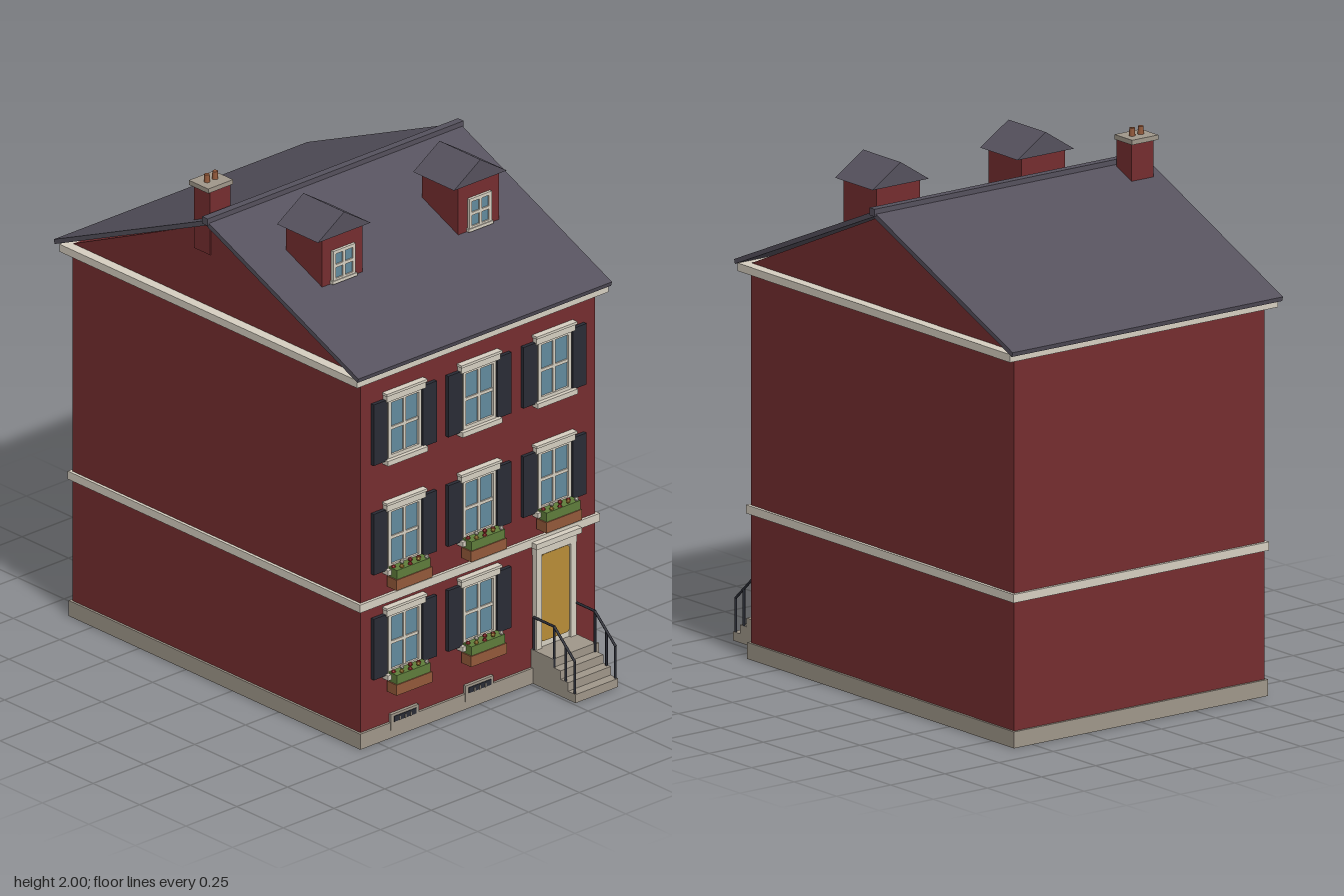
import * as THREE from 'three';

const mat = (name, color) => {
  const m = new THREE.MeshStandardMaterial({ color });
  m.name = name;
  return m;
};

export function createModel() {
  const brick = mat('brick red', 0x752d2f);
  const slate = mat('slate', 0x55515d);
  const cream = mat('cream trim', 0xd6cfc1);
  const glass = mat('window glass', 0x638b9e);
  const dark = mat('dark paint', 0x2a2c35);
  const stone = mat('stone', 0xa0978a);
  const gold = mat('ochre', 0xb98d38);
  const clay = mat('terracotta', 0x93593a);
  const leaf = mat('leaf green', 0x5f7d3b);
  const petal = mat('petal red', 0xa82a2c);

  const house = new THREE.Group();
  house.name = 'townHouse';
  const WALL = 0.68, MID = -0.095;

  const add = (parent, name, geometry, material) => {
    const mesh = new THREE.Mesh(geometry, material);
    mesh.name = name;
    parent.add(mesh);
    return mesh;
  };
  // Box given by its limits on each axis
  const box = (parent, name, material, x0, x1, y0, y1, z0, z1) => {
    const mesh = add(parent, name, new THREE.BoxGeometry(x1 - x0, y1 - y0, z1 - z0), material);
    mesh.position.set((x0 + x1) / 2, (y0 + y1) / 2, (z0 + z1) / 2);
    return mesh;
  };
  const prism = (points, depth) => new THREE.ExtrudeGeometry(
    new THREE.Shape(points.map(p => new THREE.Vector2(...p))), { depth, bevelEnabled: false });
  const group = (name, x, y, z) => {
    const g = new THREE.Group();
    g.name = name;
    g.position.set(x, y, z);
    house.add(g);
    return g;
  };

  // Walls and horizontal bands
  box(house, 'walls', brick, -0.578, 0.578, 0.01, 1.48, -0.87, WALL);
  const band = (name, m, hx, y0, y1, out) =>
    box(house, name, m, -hx, hx, y0, y1, -0.87 - out, WALL + out);
  band('plinth', stone, 0.587, 0, 0.062, 0.01);
  band('beltCourse', cream, 0.59, 0.548, 0.58, 0.012);
  band('cornice', cream, 0.618, 1.462, 1.492, 0.027);

  // Gable and pitched roof: profiles in (z, y), extruded along x
  const alongX = (name, points, half, m, z) => {
    const mesh = add(house, name, prism(points, half * 2), m);
    mesh.rotation.y = -Math.PI / 2;
    mesh.position.set(half, 0, z);
    return mesh;
  };
  alongX('gable', [[-0.775, 1.49], [0.775, 1.49], [0, 1.835]], 0.578, brick, MID);
  alongX('roof', [[-0.815, 1.488], [0, 1.84], [0.815, 1.488], [0.82, 1.505], [0, 1.86], [-0.82, 1.505]],
    0.624, slate, -0.1);
  box(house, 'ridgeCap', slate, -0.63, 0.63, 1.845, 1.873, -0.115, -0.085);

  // Chimney with two pots
  box(house, 'chimney', brick, -0.582, -0.48, 1.7, 1.952, -0.212, -0.125);
  box(house, 'chimneyCap', stone, -0.595, -0.473, 1.952, 1.97, -0.224, -0.12);
  for (const x of [-0.554, -0.514]) {
    add(house, 'chimneyPot', new THREE.CylinderGeometry(0.01, 0.012, 0.032, 12), clay)
      .position.set(x, 1.984, -0.172);
  }

  // Window frame with a hole, glass and crossed bars, centred on its origin
  function sash(parent, w, h, border, depth) {
    const shape = new THREE.Shape([[-w, -h], [w, -h], [w, h], [-w, h]].map(p => new THREE.Vector2(...p)));
    const a = w - border, b = h - border;
    shape.holes.push(new THREE.Path([[-a, -b], [-a, b], [a, b], [a, -b]].map(p => new THREE.Vector2(...p))));
    add(parent, 'windowFrame', new THREE.ExtrudeGeometry(shape, { depth, bevelEnabled: false }), cream);
    box(parent, 'windowGlass', glass, -a, a, -b, b, 0, 0.005);
    box(parent, 'verticalBar', cream, -0.006, 0.006, -b, b, 0.004, 0.011);
    box(parent, 'crossBar', cream, -a, a, -0.006, 0.006, 0.004, 0.011);
  }

  // Flower box under a window
  function flowerBox(parent, y) {
    box(parent, 'planter', clay, -0.088, 0.088, y, y + 0.042, 0.012, 0.064);
    box(parent, 'foliage', leaf, -0.083, 0.083, y + 0.04, y + 0.078, 0.014, 0.06);
    [petal, gold, cream, petal, petal, gold, petal, cream].forEach((m, i) => {
      add(parent, 'flower', new THREE.IcosahedronGeometry(0.009, 0), m)
        .position.set(-0.072 + i * 0.0205, y + 0.08 + (i % 3) * 0.004, i % 2 ? 0.052 : 0.03);
    });
  }

  // Facade windows with shutters; y is the bottom of the shutters
  const columns = [-0.37, -0.003, 0.367];
  [[1.118, 3, false], [0.68, 3, true], [0.26, 2, true]].forEach(([y, count, planted]) => {
    columns.slice(0, count).forEach(x => {
      const g = group('window', x, y + 0.122, WALL);
      sash(g, 0.081, 0.118, 0.014, 0.014);
      box(g, 'lintel', cream, -0.096, 0.096, 0.114, 0.142, 0, 0.02);
      box(g, 'lintelCap', cream, -0.1, 0.1, 0.14, 0.15, 0, 0.026);
      box(g, 'sill', cream, -0.098, 0.098, -0.137, -0.117, 0, 0.03);
      for (const s of [-1, 1]) {
        const c = s * 0.121;
        box(g, 'shutter', dark, c - 0.034, c + 0.034, -0.122, 0.122, 0, 0.015);
      }
      if (planted) flowerBox(g, -0.188);
    });
  });

  // Basement vents
  for (const x of columns.slice(0, 2)) {
    const g = group('basementVent', x, 0, WALL);
    box(g, 'ventFrame', stone, -0.068, 0.068, 0.03, 0.095, 0, 0.013);
    box(g, 'ventOpening', dark, -0.055, 0.055, 0.063, 0.085, 0.012, 0.016);
    for (let i = -1; i <= 1; i++) {
      box(g, 'ventBar', stone, i * 0.027 - 0.003, i * 0.027 + 0.003, 0.063, 0.078, 0.014, 0.018);
    }
  }

  // Dormers
  for (const x of [-0.337, 0.333]) {
    const g = group('dormer', x, 0, 0);
    box(g, 'dormerWalls', brick, -0.1, 0.1, 1.66, 1.872, 0.125, 0.32);
    add(g, 'dormerRoof', prism([[-0.13, 1.868], [0.13, 1.868], [0, 1.952]], 0.22), slate)
      .position.z = 0.11;
    const w = group('dormerWindow', x, 1.748, 0.32);
    sash(w, 0.055, 0.062, 0.013, 0.011);
    box(w, 'dormerSill', cream, -0.06, 0.06, -0.068, -0.056, 0, 0.015);
  }

  // Front door and its surround
  const door = group('entrance', 0.367, 0, WALL);
  box(door, 'doorBacking', cream, -0.098, 0.098, 0.13, 0.548, 0, 0.012);
  for (const s of [-1, 1]) {
    box(door, 'pilaster', cream, s * 0.085 - 0.013, s * 0.085 + 0.013, 0.13, 0.548, 0, 0.022);
  }
  box(door, 'doorHead', cream, -0.1, 0.1, 0.51, 0.548, 0, 0.024);
  box(door, 'doorCornice', cream, -0.112, 0.112, 0.545, 0.567, 0, 0.038);
  const n = 0.01, dw = 0.07, d0 = 0.158, d1 = 0.505;
  add(door, 'doorPanel', prism([[-dw + n, d0], [dw - n, d0], [dw, d0 + n], [dw, d1 - n],
    [dw - n, d1], [-dw + n, d1], [-dw, d1 - n], [-dw, d0 + n]], 0.006), gold).position.z = 0.011;

  // Stone steps
  [[0.135, 0.8], [0.102, 0.84], [0.068, 0.88], [0.034, 0.92]].forEach(([top, front], i) => {
    box(house, 'step', stone, 0.262, 0.472, 0, top, i ? front - 0.04 : WALL, front);
  });

  // Iron handrails
  const rod = (a, b) => {
    const p = new THREE.Vector3(...a), q = new THREE.Vector3(...b);
    const m = add(house, 'railing', new THREE.CylinderGeometry(0.005, 0.005, p.distanceTo(q), 8), dark);
    m.position.copy(p).add(q).multiplyScalar(0.5);
    m.quaternion.setFromUnitVectors(new THREE.Vector3(0, 1, 0), q.sub(p).normalize());
  };
  for (const x of [0.267, 0.467]) {
    rod([x, 0.264, 0.69], [x, 0.264, 0.802]);
    rod([x, 0.264, 0.8], [x, 0.16, 0.912]);
    for (const [z, y0, y1] of [[0.69, 0.13, 0.264], [0.8, 0.1, 0.264], [0.862, 0.06, 0.207], [0.91, 0.03, 0.163]]) {
      rod([x, y0, z], [x, y1, z]);
    }
  }

  return house;
}
